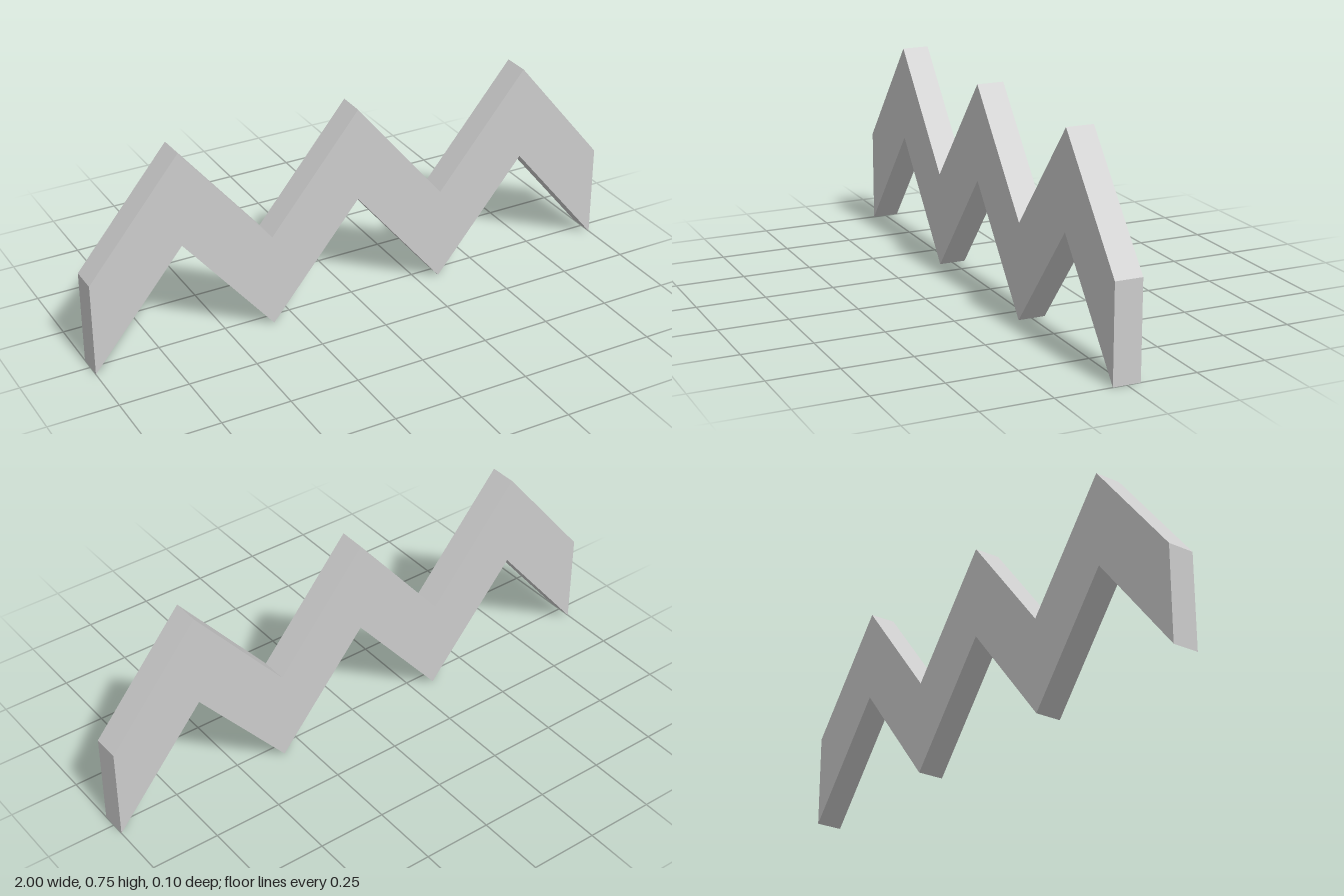
import * as THREE from 'three';

const PEAKS = 3;      // number of chevrons
const RISE = 0.404;   // height of each chevron
const BAND = 0.343;   // vertical height of the band
const DEPTH = 0.098;  // thickness along z

export function createModel() {
  const group = new THREE.Group();
  group.name = 'zigzag';

  // lower edge of the band, alternating valley and peak
  const lower = [];
  for (let i = 0; i <= PEAKS * 2; i++) {
    lower.push(new THREE.Vector2(-1 + i / PEAKS, i % 2 ? RISE : 0));
  }
  // upper edge is the same line raised, walked back to close the outline
  const upper = lower.map(p => new THREE.Vector2(p.x, p.y + BAND)).reverse();

  const geometry = new THREE.ExtrudeGeometry(new THREE.Shape([...lower, ...upper]), {
    depth: DEPTH,
    bevelEnabled: false,
  });
  geometry.translate(0, 0, -DEPTH / 2);

  const band = new THREE.Mesh(geometry, new THREE.MeshStandardMaterial({ color: 0xcccccc }));
  band.name = 'zigzagBand';
  group.add(band);
  return group;
}
